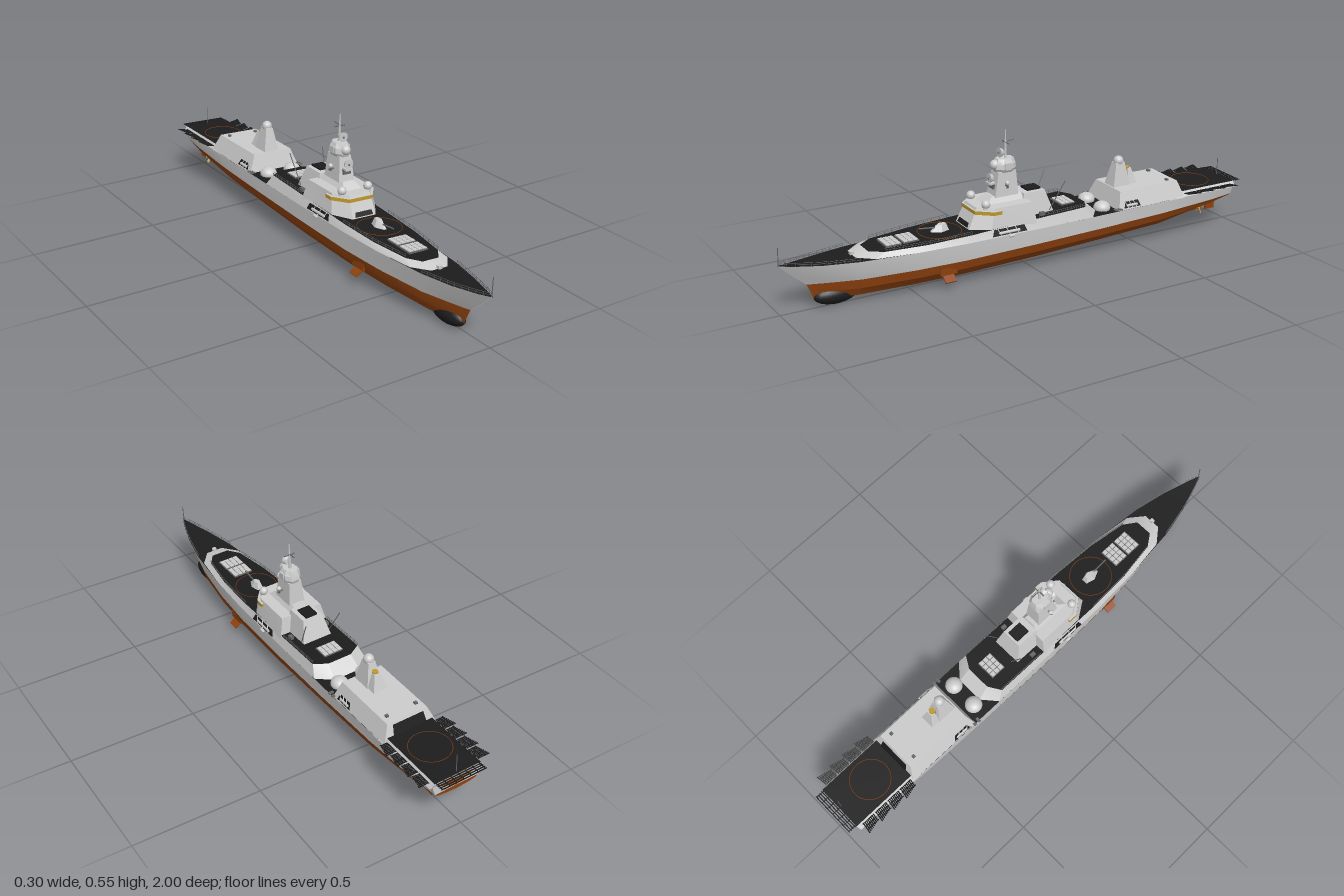
import * as THREE from 'three';
import { toCreasedNormals } from 'three/addons/utils/BufferGeometryUtils.js';

const GREY = 0xcccccc, DARK = 0x1c1c1c, RUST = 0x8f420f, GOLD = 0xc09a2c, STEEL = 0x666666;
const mats = {};
const mat = (c) => (mats[c] ??= new THREE.MeshStandardMaterial({ color: c, side: THREE.DoubleSide }));

export function createModel() {
  const ship = new THREE.Group();
  ship.name = 'warship';
  const add = (name, geo, color = GREY, pos = [0, 0, 0]) => {
    const m = new THREE.Mesh(geo, mat(color));
    m.name = name;
    m.position.set(...pos);
    ship.add(m);
    return m;
  };
  const box = (name, size, pos, color) => add(name, new THREE.BoxGeometry(...size), color, pos);
  const ball = (name, r, pos, color) => add(name, new THREE.SphereGeometry(r, 20, 14), color, pos);
  const rod = (name, a, b, r, color = STEEL, r2 = r) => {
    const A = new THREE.Vector3(...a), d = new THREE.Vector3(...b).sub(A);
    const m = add(name, new THREE.CylinderGeometry(r2, r, d.length(), 6), color);
    m.position.copy(A).addScaledVector(d, 0.5);
    m.quaternion.setFromUnitVectors(new THREE.Vector3(0, 1, 0), d.normalize());
    return m;
  };
  // Skin over a grid of points: stations x rows
  const skin = (name, g, color) => {
    const n = g[0].length, idx = [];
    for (let i = 0; i < g.length - 1; i++) for (let j = 0; j < n - 1; j++) {
      const a = i * n + j, b = a + n;
      idx.push(a, b, a + 1, b, b + 1, a + 1);
    }
    const geo = new THREE.BufferGeometry();
    geo.setAttribute('position', new THREE.Float32BufferAttribute(g.flat(2), 3));
    geo.setIndex(idx);
    return add(name, toCreasedNormals(geo, 0.35), color);
  };
  const flip = ([x, y, z]) => [-x, y, z];
  // Sloped block from half outlines (front to back, +x side), one per level
  const block = (name, levels, color = GREY, topColor = color) => {
    const rings = levels.map((h) => [...h, ...h.map(flip).reverse(), h[0]]);
    skin(name, rings[0].map((_, i) => rings.map((r) => r[i])), color);
    skin(name + 'Top', levels.at(-1).map((p) => [p, flip(p)]), topColor);
  };
  // Rectangular tapered block
  const taper = (name, w0, f0, b0, y0, w1, f1, b1, y1, color, topColor) =>
    block(name, [[[w0, y0, f0], [w0, y0, b0]], [[w1, y1, f1], [w1, y1, b1]]], color, topColor);

  // Hull stations: z, deck, waterline and bottom half-widths, keel, waterline and deck heights
  const stations = [
    [1, 0.002, 0.002, 0.001, 0.03, 0.096, 0.188], [0.95, 0.021, 0.011, 0.004, 0.028, 0.096, 0.183],
    [0.85, 0.052, 0.031, 0.013, 0.025, 0.097, 0.178], [0.72, 0.08, 0.062, 0.035, 0.026, 0.099, 0.176],
    [0.5, 0.103, 0.093, 0.06, 0.031, 0.103, 0.175], [0.3, 0.112, 0.107, 0.074, 0.036, 0.106, 0.175],
    [0, 0.114, 0.112, 0.078, 0.044, 0.113, 0.175], [-0.3, 0.114, 0.112, 0.076, 0.055, 0.12, 0.177],
    [-0.6, 0.113, 0.109, 0.07, 0.065, 0.128, 0.18], [-0.85, 0.108, 0.1, 0.062, 0.1, 0.138, 0.185],
    [-0.96, 0.103, 0.09, 0.05, 0.127, 0.143, 0.188]];
  const halves = stations.map(([z, wd, ww, wb, yk, yw, yd]) => {
    const k = Math.max(0, (z - 0.6) / 0.4) ** 2;
    return [[0, yk, z - 0.13 * k], [wb, yk + 0.003, z - 0.13 * k],
      [wb + (ww - wb) * 0.75, yk + (yw - yk) * 0.5, z - 0.12 * k], [ww, yw, z - 0.105 * k],
      [ww + (wd - ww) * 0.6, yw + (yd - yw) * 0.5, z - 0.05 * k], [wd, yd, z]];
  });
  const closed = (rows) => [...rows, rows[0].map(() => [0, 0.145, -0.96])];
  skin('lowerHull', closed(halves.map((h) => [...h.slice(1, 4).reverse().map(flip), ...h.slice(0, 4)])), RUST);
  skin('leftHullSide', closed(halves.map((h) => h.slice(3))));
  skin('rightHullSide', closed(halves.map((h) => h.slice(3).reverse().map(flip))));
  skin('mainDeck', halves.map((h) => [h[5], flip(h[5])]), DARK);
  ball('bowBulb', 1, [0, 0.036, 0.785], DARK).scale.set(0.034, 0.036, 0.085);
  ball('keelSonarDome', 1, [0, 0.044, 0.195], RUST).scale.set(0.036, 0.017, 0.046);

  // Raised deck, flight deck and hangar
  block('raisedDeck', [
    [[0.035, 0.176, 0.72], [0.083, 0.176, 0.66], [0.103, 0.175, 0.5], [0.112, 0.175, 0.3], [0.114, 0.175, 0], [0.114, 0.176, -0.25], [0.055, 0.176, -0.3]],
    [[0.035, 0.19, 0.67], [0.07, 0.191, 0.62], [0.093, 0.194, 0.46], [0.101, 0.2, 0.28], [0.101, 0.213, 0], [0.1, 0.22, -0.22], [0.05, 0.22, -0.25]]], GREY, DARK);
  taper('flightDeck', 0.113, -0.66, -0.96, 0.181, 0.097, -0.66, -0.965, 0.201, GREY, DARK);
  taper('hangar', 0.113, -0.375, -0.7, 0.178, 0.085, -0.395, -0.675, 0.247);
  skin('hangarDoor', [[0.07, 0.202, -0.695], [0.065, 0.24, -0.681]].map((p) => [p, flip(p)]), DARK);
  for (const [z, r, y] of [[0.365, 0.083, 0.2], [-0.81, 0.078, 0.203]])
    add('deckCircle', new THREE.TorusGeometry(r, 0.0012, 4, 48), RUST, [0, y, z]).rotation.x = Math.PI / 2;

  // Bridge with window band, roof house and funnel
  block('bridge', [
    [[0.052, 0.195, 0.27], [0.1, 0.195, 0.2], [0.108, 0.19, 0]],
    [[0.045, 0.28, 0.232], [0.086, 0.28, 0.175], [0.086, 0.28, 0.015]]]);
  const band = [[0.052, 0.257, 0.243], [0.097, 0.257, 0.185], [0.097, 0.257, 0.15]];
  block('bridgeWindows', [band, band.map(([x, , z]) => [x, 0.271, z])], GOLD, GREY);
  skin('bridgeFrontScreen', [[0.04, 0.205, 0.268], [0.036, 0.222, 0.26]].map((p) => [p, flip(p)]), DARK);
  taper('mastHouse', 0.042, 0.19, 0.02, 0.278, 0.024, 0.155, 0.03, 0.304);
  taper('funnel', 0.062, 0.04, -0.1, 0.21, 0.042, 0.025, -0.068, 0.3);
  box('funnelOutlet', [0.05, 0.012, 0.06], [0, 0.301, -0.03], DARK);

  // Main mast
  taper('mastTower', 0.034, 0.145, 0.045, 0.3, 0.026, 0.128, 0.052, 0.395);
  const oct = (w, f, b, y) => [[w * 0.5, y, f], [w, y, f - 0.02], [w, y, b + 0.02], [w * 0.5, y, b]];
  block('mastHead', [oct(0.026, 0.128, 0.052, 0.39), oct(0.034, 0.133, 0.047, 0.405),
    oct(0.033, 0.13, 0.05, 0.425), oct(0.024, 0.122, 0.056, 0.443)]);
  ball('mastRadome', 0.019, [0, 0.42, 0.13]);
  for (const [y, z] of [[0.37, 0.148], [0.465, 0.105]]) {
    add('radarDish', new THREE.CylinderGeometry(0.019, 0.013, 0.014, 24), GREY, [0, y, z]).rotation.x = Math.PI / 2;
    ball('dishFeed', 0.004, [0, y, z + 0.009], STEEL);
  }
  box('dishShelf', [0.03, 0.008, 0.04], [0, 0.35, 0.14]);
  box('mastWindow', [0.034, 0.018, 0.012], [0, 0.338, 0.14], STEEL);
  rod('topPole', [0, 0.44, 0.085], [0, 0.55, 0.085], 0.006, GREY, 0.002);
  rod('crossYard', [-0.023, 0.502, 0.085], [0.023, 0.502, 0.085], 0.0022);
  rod('rearYard', [0, 0.505, 0.085], [0, 0.508, 0.05], 0.002);

  // Aft mast on the hangar
  taper('aftTower', 0.033, -0.4, -0.48, 0.245, 0.015, -0.42, -0.46, 0.34);
  taper('aftTowerStep', 0.03, -0.475, -0.515, 0.245, 0.012, -0.478, -0.495, 0.31);
  ball('aftRadome', 0.02, [0, 0.345, -0.44]);
  add('aftDirector', new THREE.CylinderGeometry(0.012, 0.012, 0.03, 12), GOLD, [0, 0.3, -0.48]);

  // Deck gun
  block('gunTurret', [[[0.006, 0.2, 0.4], [0.022, 0.2, 0.365], [0.012, 0.2, 0.33]],
    [[0.003, 0.222, 0.378], [0.011, 0.226, 0.36], [0.007, 0.226, 0.34]]]);
  rod('gunBarrel', [0, 0.214, 0.38], [0, 0.222, 0.45], 0.003);

  // Launcher hatches in grids
  for (const [z0, y] of [[0.5, 0.194], [0.57, 0.193], [-0.18, 0.219]]) {
    box('hatchBase', [0.082, 0.008, 0.064], [0, y, z0], STEEL);
    for (let i = 0; i < 4; i++) for (let j = 0; j < 3; j++)
      box('launcherHatch', [0.017, 0.006, 0.017], [-0.03 + i * 0.02, y + 0.004, z0 - 0.02 + j * 0.02]);
  }
  box('bowCapstan', [0.016, 0.012, 0.014], [0, 0.182, 0.72]);

  for (const s of [-1, 1]) {
    // Domes and small sensors
    add('bridgeDomeFoot', new THREE.CylinderGeometry(0.012, 0.014, 0.014, 16), GREY, [s * 0.058, 0.28, 0.2]);
    ball('bridgeDome', 0.017, [s * 0.058, 0.292, 0.2]);
    ball('midDome', 0.034, [s * 0.055, 0.183, -0.33]).scale.y = 0.8;
    rod('sensorArm', [s * 0.02, 0.343, 0.1], [s * 0.052, 0.343, 0.1], 0.003);
    rod('sensorPost', [s * 0.045, 0.335, 0.1], [s * 0.045, 0.353, 0.1], 0.004);
    ball('sensorBall', 0.009, [s * 0.045, 0.356, 0.1]);
    box('mastSidePanel', [0.006, 0.026, 0.026], [s * 0.034, 0.416, 0.09]);
    box('sideGun', [0.014, 0.014, 0.02], [s * 0.08, 0.22, -0.035], STEEL);
    box('hangarVent', [0.012, 0.008, 0.012], [s * 0.062, 0.25, -0.64], STEEL);
    add('lifeRaft', new THREE.CapsuleGeometry(0.006, 0.012, 4, 10), GREY, [s * 0.119, 0.174, 0.12]).rotation.x = Math.PI / 2;
    box('midBeam', [0.02, 0.004, 0.012], [s * 0.112, 0.185, -0.36], STEEL);
    box('midBeam', [0.02, 0.004, 0.012], [s * 0.112, 0.185, -0.38], STEEL);

    // Boat bays in the sloped sides
    for (const [z1, z0, yb] of [[0.2, 0.05, 0.18], [-0.4, -0.48, 0.184]]) {
      const X = (y) => s * (yb < 0.183 ? 0.1155 - (y - 0.175) * 0.34 : 0.114 - (y - 0.178) * 0.4);
      skin('boatBay', [z1, z0].map((z) => [[X(yb), yb, z], [X(yb + 0.024), yb + 0.024, z - Math.sign(z - 0.5 * (z0 + z1)) * 0.01]]), DARK);
      for (let i = 1; i < 4; i++) {
        const z = z0 + (z1 - z0) * i / 4;
        rod('davit', [X(yb), yb, z], [X(yb + 0.024), yb + 0.024, z + 0.012], 0.002, GREY);
      }
      const boat = add('boat', new THREE.CapsuleGeometry(0.006, (z1 - z0) * 0.55, 4, 8), GREY, [X(yb + 0.008) - s * 0.002, yb + 0.008, (z0 + z1) / 2]);
      boat.rotation.x = Math.PI / 2;
    }

    // Folding safety nets beside the flight deck
    for (let k = 0; k < 4; k++) {
      const net = new THREE.Group();
      net.name = 'safetyNet';
      for (let i = 0; i < 8; i++) {
        const slat = new THREE.Mesh(new THREE.BoxGeometry(0.05 - i * 0.002, 0.002, 0.0045), mat(DARK));
        slat.position.set(s * (0.025 - i * 0.001), 0, i * 0.0072 - 0.026);
        slat.rotation.y = s * 0.15;
        net.add(slat);
      }
      for (const x of [0.004, 0.02, 0.034]) {
        const bar = new THREE.Mesh(new THREE.BoxGeometry(0.0035, 0.002, 0.056), mat(DARK));
        bar.position.x = s * x;
        net.add(bar);
      }
      net.position.set(s * 0.1, 0.192, -0.73 - k * 0.062);
      net.rotation.z = s * 0.15;
      ship.add(net);
    }

    // Stabilizer fin, rudder, shaft and propeller
    block('finRoot', [[[0.004, 0.058, 0.4], [0.004, 0.058, 0.33]], [[0.004, 0.09, 0.41], [0.004, 0.09, 0.32]]]
      .map((l) => l), RUST);
    const fin = box('stabilizerFin', [0.048, 0.005, 0.045], [s * 0.096, 0.05, 0.375], RUST);
    fin.rotation.z = -s * 0.6;
    box('finFairing', [0.008, 0.026, 0.07], [s * 0.093, 0.072, 0.375], RUST);
    box('rudder', [0.007, 0.052, 0.045], [s * 0.055, 0.106, -0.88], RUST);
    rod('propellerShaft', [s * 0.05, 0.078, -0.58], [s * 0.05, 0.09, -0.835], 0.004, RUST);
    rod('shaftStrut', [s * 0.05, 0.088, -0.79], [s * 0.04, 0.115, -0.79], 0.004, RUST);
    ball('propellerHub', 0.007, [s * 0.05, 0.09, -0.83], GOLD);
    for (let i = 0; i < 5; i++) {
      const a = i * Math.PI * 0.4;
      const blade = box('propellerBlade', [0.01, 0.022, 0.002], [s * 0.05 - Math.sin(a) * 0.014, 0.09 + Math.cos(a) * 0.014, -0.83], GOLD);
      blade.rotation.set(0, 0, a);
      blade.rotateY(0.5);
    }
    rod('bilgeKeel', [s * 0.094, 0.074, 0.25], [s * 0.094, 0.088, -0.3], 0.003, RUST);

    // Deck railings and whip aerials
    const railing = (pts) => pts.forEach((p, i) => {
      rod('railPost', p, [p[0], p[1] + 0.014, p[2]], 0.0009);
      if (i) for (const h of [0.007, 0.014])
        rod('rail', [pts[i - 1][0], pts[i - 1][1] + h, pts[i - 1][2]], [p[0], p[1] + h, p[2]], 0.0008);
    });
    const path = (...p) => new THREE.CatmullRomCurve3(p.map((q) => new THREE.Vector3(s * q[0], q[1], q[2])))
      .getSpacedPoints(10).map((v) => v.toArray());
    railing(path([0.002, 0.187, 0.995], [0.02, 0.183, 0.95], [0.05, 0.178, 0.85], [0.078, 0.176, 0.72]));
    railing(path([0.07, 0.191, 0.62], [0.092, 0.194, 0.46], [0.1, 0.2, 0.28]));
    railing(path([0.1, 0.214, -0.01], [0.099, 0.22, -0.22]));
    rod('whipAerial', [s * 0.06, 0.22, -0.08], [s * 0.075, 0.335, -0.14], 0.0018);
  }

  // Stern net and staffs
  for (let i = 0; i < 4; i++) box('sternNetBar', [0.19, 0.002, 0.004], [0, 0.2, -0.97 - i * 0.0093], DARK);
  for (let i = 0; i < 7; i++) box('sternNetRib', [0.003, 0.002, 0.034], [-0.09 + i * 0.03, 0.2, -0.982], DARK);
  rod('bowStaff', [0, 0.185, 0.995], [0, 0.258, 0.995], 0.0016);
  rod('sternStaff', [0, 0.2, -0.955], [0, 0.275, -0.955], 0.0016);

  // Slight heel to one side
  ship.rotation.z = -0.038;
  ship.position.x = -0.006;
  const model = new THREE.Group();
  model.name = 'model';
  model.add(ship);
  return model;
}
